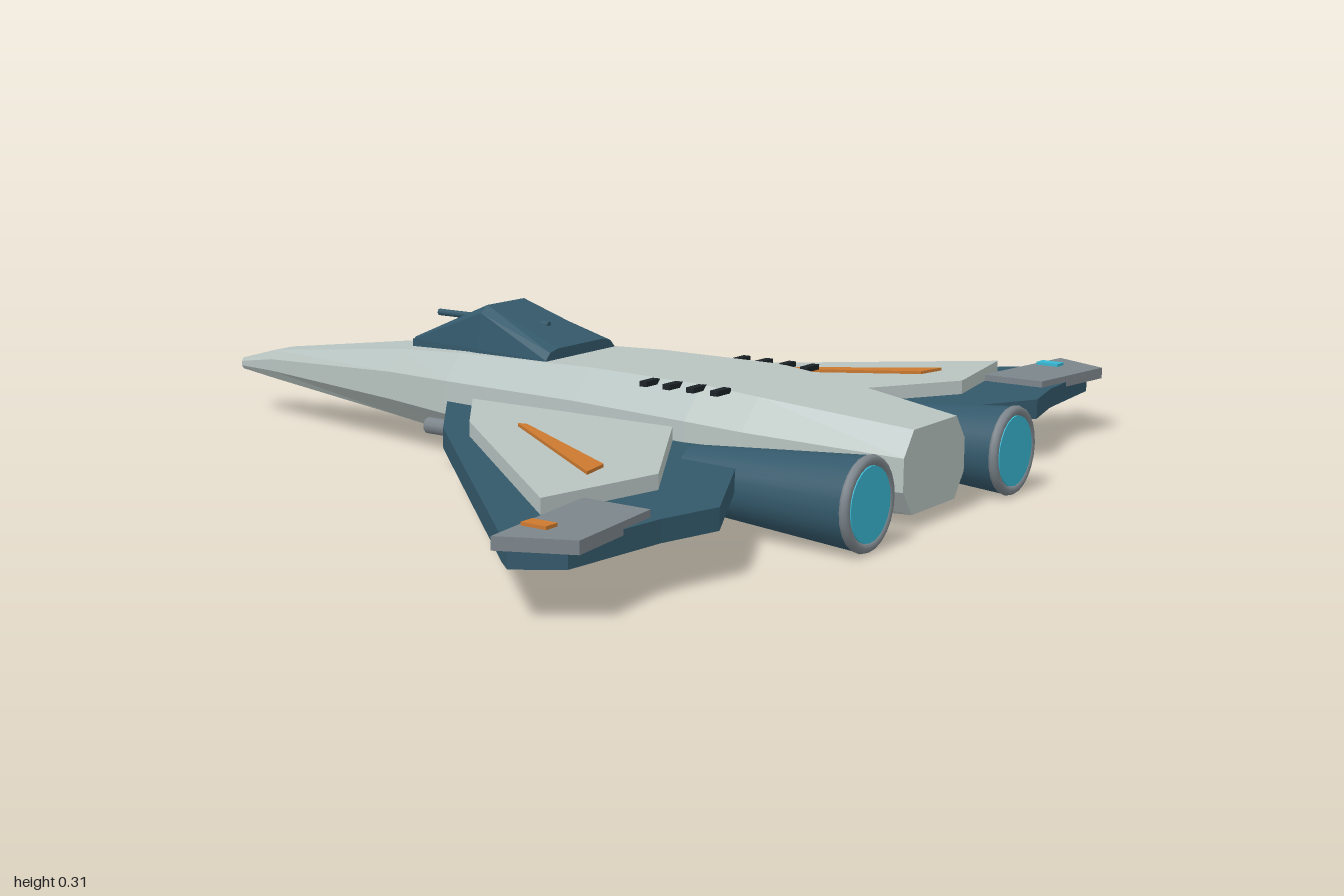
import * as THREE from 'three';

const mat = (name, color) => {
  const m = new THREE.MeshStandardMaterial({ color });
  m.name = name;
  return m;
};

// Closed hull through rings of [x, y] points, each ring counter-clockwise seen from +z
function loft(stations) {
  const n = stations[0].ring.length;
  const pos = [], idx = [];
  for (const s of stations) for (const [x, y] of s.ring) pos.push(x, y, s.z);
  const last = (stations.length - 1) * n;
  for (let i = 0; i < stations.length - 1; i++) {
    for (let j = 0; j < n; j++) {
      const a = i * n + j, b = i * n + (j + 1) % n;
      idx.push(a, b, b + n, a, b + n, a + n);
    }
  }
  for (let j = 1; j < n - 1; j++) {
    idx.push(0, j + 1, j);
    idx.push(last, last + j, last + j + 1);
  }
  const g = new THREE.BufferGeometry();
  g.setAttribute('position', new THREE.Float32BufferAttribute(pos, 3));
  g.setIndex(idx);
  const flat = g.toNonIndexed();
  flat.computeVertexNormals();
  return flat;
}

// Chamfered rectangle section
function octagon(w, y0, y1, k) {
  const cx = w * k, cy = (y1 - y0) * 0.3;
  return [
    [w, y0 + cy], [w, y1 - cy], [w - cx, y1], [cx - w, y1],
    [-w, y1 - cy], [-w, y0 + cy], [cx - w, y0], [w - cx, y0],
  ];
}

// Flat plate from an [x, z] outline, between two heights, on one side of the ship
function plate(outline, y0, y1, side) {
  const shape = new THREE.Shape(outline.map(([x, z]) => new THREE.Vector2(x * side, -z)));
  const g = new THREE.ExtrudeGeometry(shape, { depth: y1 - y0, bevelEnabled: false });
  return g.rotateX(-Math.PI / 2).translate(0, y0, 0);
}

export function createModel() {
  const hull = mat('hull pale grey', 0xb8c4c1);
  const blue = mat('deep blue', 0x34596b);
  const grey = mat('mid grey', 0x7c858b);
  const orange = mat('orange', 0xcc7a30);
  const cyan = mat('glow cyan', 0x38b6d0);
  const black = mat('vent black', 0x1b2226);
  for (const m of [hull, blue, grey]) m.flatShading = false;

  const ship = new THREE.Group();
  ship.name = 'starfighter';
  const add = (name, geometry, material, parent = ship) => {
    const mesh = new THREE.Mesh(geometry, material);
    mesh.name = name;
    parent.add(mesh);
    return mesh;
  };

  // Fuselage: z, half width, bottom, top
  const body = [
    [-0.885, 0.018, 0.1, 0.125],
    [-0.77, 0.042, 0.092, 0.156],
    [-0.35, 0.122, 0.065, 0.209],
    [-0.17, 0.155, 0.052, 0.222],
    [0.17, 0.18, 0.038, 0.232],
    [0.44, 0.198, 0.028, 0.23],
    [0.56, 0.187, 0.028, 0.219],
    [0.855, 0.115, 0.03, 0.186],
  ];
  add('fuselage', loft(body.map(([z, w, y0, y1]) => ({ z, ring: octagon(w, y0, y1, 0.3) }))), hull);

  // Canopy: z, half width at base, half width at roof, bottom, top
  const canopy = [
    [-0.355, 0.04, 0.03, 0.195, 0.228],
    [-0.137, 0.092, 0.06, 0.2, 0.318],
    [0.055, 0.115, 0.075, 0.2, 0.25],
  ];
  add('canopy', loft(canopy.map(([z, w, t, y0, y1]) => {
    const shoulder = y1 - (y1 - y0) * 0.12, s = t + (w - t) * 0.65;
    return { z, ring: [[w, y0], [w, y0 + 0.03], [s, shoulder], [t, y1], [-t, y1], [-s, shoulder], [-w, y0 + 0.03], [-w, y0]] };
  })), blue);
  add('canopyProbe', new THREE.CylinderGeometry(0.007, 0.007, 0.29, 8)
    .rotateX(Math.PI / 2).translate(0, 0.28, -0.17), blue);

  const wingOutline = [
    [0.1, -0.17], [0.15, -0.17], [0.365, 0], [0.955, 0.615], [0.985, 0.65],
    [0.93, 0.725], [0.71, 0.745], [0.585, 0.775], [0.18, 0.56], [0.1, 0.52],
  ];
  const panelOutline = [
    [0.215, -0.05], [0.395, 0.09], [0.805, 0.575], [0.545, 0.625], [0.205, 0.42],
  ];
  const tipOutline = [[0.71, 0.59], [1, 0.63], [0.94, 0.755], [0.71, 0.725]];
  const stripeOutline = [[0.375, 0.19], [0.625, 0.535], [0.56, 0.522], [0.368, 0.205]];

  for (const side of [1, -1]) {
    const label = side > 0 ? 'left' : 'right';

    // Wing with raised panel, stripe and tip
    const wing = new THREE.Group();
    wing.name = label + 'Wing';
    ship.add(wing);
    add('wingSlab', plate(wingOutline, 0.09, 0.13, side), blue, wing);
    add('wingPanel', plate(panelOutline, 0.125, 0.158, side), hull, wing);
    add('wingStripe', plate(stripeOutline, 0.157, 0.164, side), orange, wing);
    add('wingTip', plate(tipOutline, 0.12, 0.143, side), grey, wing);
    add('tipLight', new THREE.BoxGeometry(0.03, 0.008, 0.05)
      .translate(0.905 * side, 0.145, 0.65), side > 0 ? cyan : orange, wing);

    // Gun under the wing root
    add(label + 'Gun', new THREE.CylinderGeometry(0.017, 0.017, 0.25, 10)
      .rotateX(Math.PI / 2).translate(0.22 * side, 0.092, -0.035), grey);

    // Engine
    const engine = new THREE.Group();
    engine.name = label + 'Engine';
    engine.position.set(0.275 * side, 0.09, 0);
    ship.add(engine);
    add('engineBody', new THREE.CylinderGeometry(0.085, 0.058, 0.36, 24)
      .rotateX(Math.PI / 2).translate(0, 0, 0.695), blue, engine);
    add('engineRim', new THREE.TorusGeometry(0.077, 0.01, 8, 24).translate(0, 0, 0.873), grey, engine);
    add('engineGlow', new THREE.CylinderGeometry(0.068, 0.068, 0.008, 24)
      .rotateX(Math.PI / 2).translate(0, 0, 0.877), cyan, engine);

    // Row of vents along the upper hull edge
    for (let i = 0; i < 4; i++) {
      add(label + 'Vent', new THREE.BoxGeometry(0.045, 0.01, 0.016)
        .translate(0.158 * side, 0.225, 0.335 + i * 0.053), black);
    }
  }
  return ship;
}
